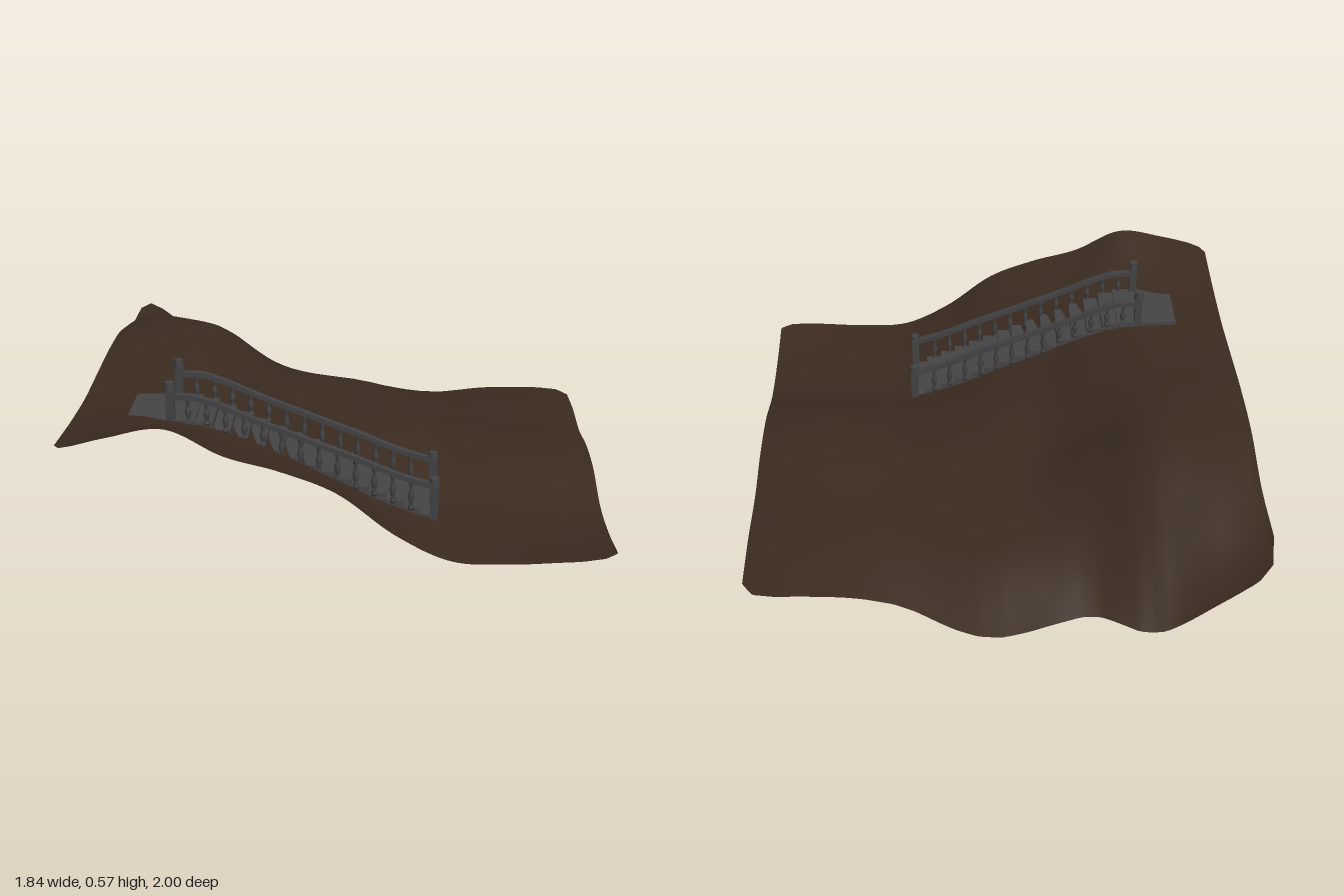
import * as THREE from 'three';

// Ground heights: rows run from the back edge to the front edge, columns from -x to +x
const HEIGHTS = [
  [.37, .225, .10, .073, .045, .012, .004, .022, .048, .054, .05],
  [.375, .365, .30, .22, .15, .115, .09, .08, .08, .08, .07],
  [.43, .44, .42, .31, .20, .155, .13, .11, .10, .09, .068],
  [.44, .45, .43, .325, .215, .18, .16, .135, .132, .12, .10],
  [.43, .43, .42, .36, .26, .20, .15, .115, .122, .12, .10],
  [.42, .422, .415, .364, .285, .205, .122, .068, .062, .06, .052],
  [.43, .446, .436, .389, .313, .22, .127, .072, .058, .058, .058],
  [.45, .50, .53, .44, .388, .313, .172, .08, .07, .08, .092],
];
// Outline of the back and front edges as [x, z]
const BACK = [[-.92, -.83], [-.905, -.95], [-.85, -.995], [-.55, -1], [-.47, -.98], [-.34, -.89], [-.28, -.88],
  [-.1, -.915], [0, -.925], [.08, -.912], [.16, -.875], [.3, -.79], [.38, -.76], [.48, -.75], [.8, -.745], [.88, -.73], [.92, -.67]];
const FRONT = [[-.92, .95], [-.9, .985], [-.85, 1], [.8, 1], [.88, .985], [.92, .95]];

function edgeAt(points, x) {
  for (let i = 1; i < points.length; i++) {
    const [x0, z0] = points[i - 1], [x1, z1] = points[i];
    if (x <= x1) return z0 + (z1 - z0) * (x - x0) / (x1 - x0);
  }
  return points[points.length - 1][1];
}

// Catmull-Rom value through a list, t from 0 to 1
function spline(list, t) {
  const n = list.length - 1;
  const i = Math.min(Math.floor(t * n), n - 1), f = t * n - i;
  const p1 = list[i], p2 = list[i + 1];
  const p0 = i > 0 ? list[i - 1] : 2 * p1 - p2;
  const p3 = i + 2 <= n ? list[i + 2] : 2 * p2 - p1;
  const a = (p2 - p0) / 2, b = (p3 - p1) / 2;
  return p1 + a * f + (3 * (p2 - p1) - 2 * a - b) * f * f + (2 * (p1 - p2) + a + b) * f * f * f;
}

function groundGeometry() {
  const geo = new THREE.PlaneGeometry(1.84, 2, 84, 84);
  geo.rotateX(-Math.PI / 2);
  const pos = geo.attributes.position;
  for (let i = 0; i < pos.count; i++) {
    const x = pos.getX(i), u = THREE.MathUtils.clamp((x + .92) / 1.84, 0, 1);
    const v = THREE.MathUtils.clamp((pos.getZ(i) + 1) / 2, 0, 1);
    const y = spline(HEIGHTS.map(row => spline(row, u)), v);
    pos.setXYZ(i, x, y, THREE.MathUtils.lerp(edgeAt(BACK, x), edgeAt(FRONT, x), v));
  }
  geo.computeVertexNormals();
  return geo;
}

export function createModel() {
  const model = new THREE.Group();
  const earth = new THREE.MeshStandardMaterial({ color: 0x3b2b20, side: THREE.DoubleSide });
  earth.name = 'brown earth';
  const stone = new THREE.MeshStandardMaterial({ color: 0x464445 });
  stone.name = 'grey stone';
  const railStone = new THREE.MeshStandardMaterial({ color: 0x424244 });
  railStone.name = 'dark grey stone';

  function add(parent, name, geo, mat, x = 0, y = 0, z = 0) {
    const mesh = new THREE.Mesh(geo, mat);
    mesh.name = name;
    mesh.position.set(x, y, z);
    parent.add(mesh);
    return mesh;
  }

  add(model, 'hillside', groundGeometry(), earth);

  // Staircase: landing and descending treads
  const stairs = new THREE.Group();
  stairs.name = 'staircase';
  model.add(stairs);
  const midZ = .548, pitch = .0593, rise = .0255;
  add(stairs, 'landing', new THREE.BoxGeometry(.235, .02, .26), stone, -.615, .426, midZ);
  const treadGeo = new THREE.BoxGeometry(.066, .03, .24);
  for (let i = 0; i < 14; i++) {
    add(stairs, 'tread', treadGeo, stone, -.47 + pitch * i, .411 - rise * i, midZ);
  }

  // Handrail path, shared by both sides
  const railCurve = new THREE.CatmullRomCurve3([
    [-.575, .517], [-.5, .515], [-.42, .49], [-.3, .438], [-.1, .358], [.05, .3], [.2, .237], [.325, .198],
  ].map(([x, y]) => new THREE.Vector3(x, y, 0)));
  const railPoints = railCurve.getSpacedPoints(60);
  const railShape = new THREE.Shape();
  railPoints.forEach((p, i) => (i ? railShape.lineTo(p.x, p.y + .009) : railShape.moveTo(p.x, p.y + .009)));
  [...railPoints].reverse().forEach(p => railShape.lineTo(p.x, p.y - .009));
  const railGeo = new THREE.ExtrudeGeometry(railShape, { depth: .024, bevelEnabled: false });
  railGeo.translate(0, 0, -.012);

  // Turned baluster of unit height
  const balusterGeo = new THREE.LatheGeometry([
    [0, 0], [.011, 0], [.011, .1], [.006, .16], [.008, .3], [.012, .45], [.008, .58], [.005, .75], [.01, .88], [.01, 1], [0, 1],
  ].map(([r, y]) => new THREE.Vector2(r, y)), 8);

  function newel(parent, x, base, top, width) {
    const post = new THREE.Group();
    post.name = 'newelPost';
    post.position.set(x, base, 0);
    const h = top - base;
    add(post, 'newelShaft', new THREE.BoxGeometry(.028, h - .02, width), railStone, 0, (h - .02) / 2, 0);
    add(post, 'newelCap', new THREE.CylinderGeometry(.016, .019, .03, 10), railStone, 0, h - .015, 0);
    parent.add(post);
  }

  for (const [name, z] of [['backBalustrade', .432], ['frontBalustrade', .665]]) {
    const side = new THREE.Group();
    side.name = name;
    side.position.z = z;
    stairs.add(side);
    add(side, 'handrail', railGeo, railStone);
    newel(side, -.58, .42, .57, .027);
    newel(side, .322, .08, .23, .034);
    for (let i = 0; i < 13; i++) {
      const x = -.52 + .0635 * i;
      const foot = .417 - rise * Math.max(0, Math.round((x + .47) / pitch));
      const top = railPoints.reduce((a, b) => (Math.abs(b.x - x) < Math.abs(a.x - x) ? b : a)).y;
      add(side, 'baluster', balusterGeo, railStone, x, foot, 0).scale.y = top - foot;
    }
  }
  return model;
}
